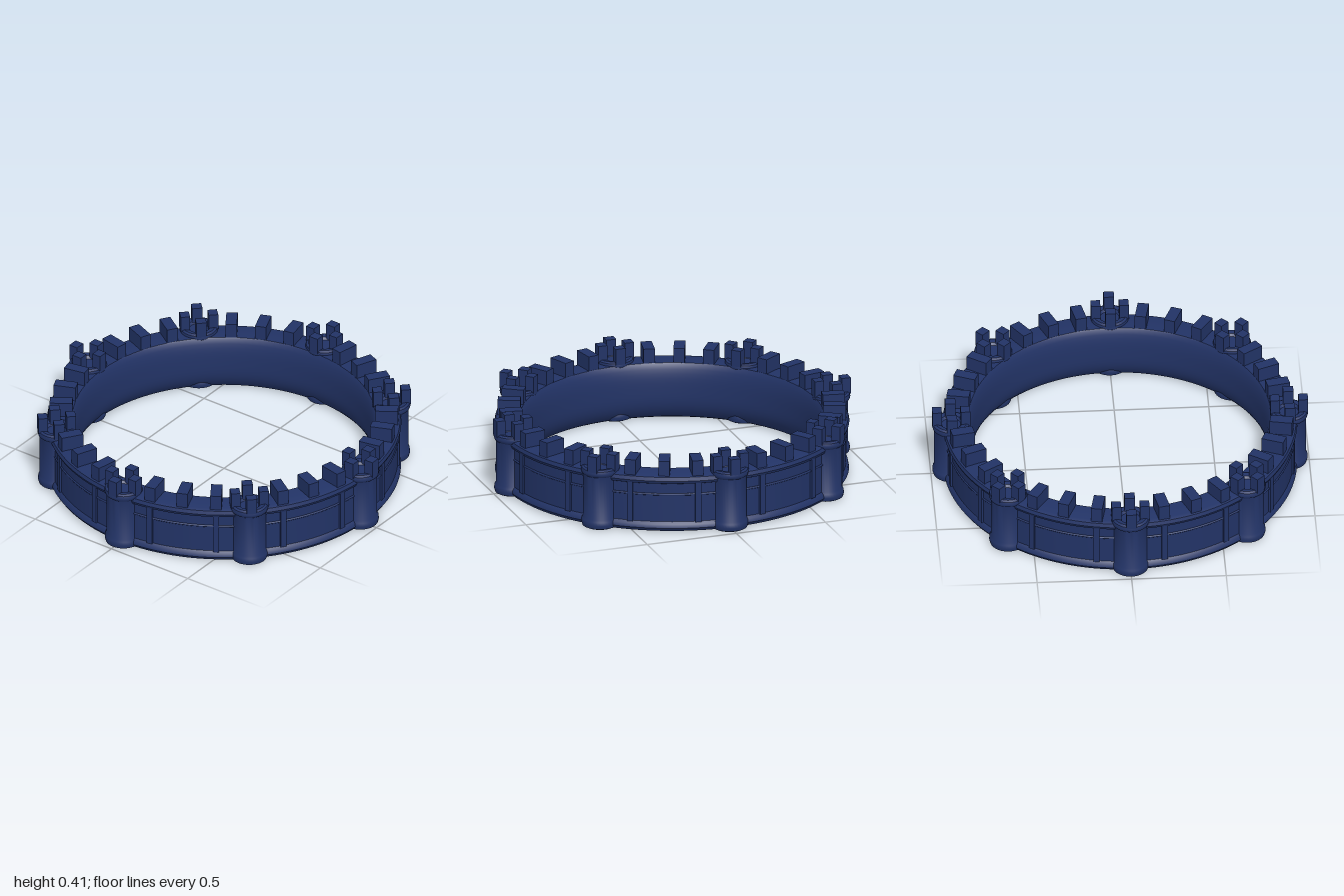
import * as THREE from 'three';
import { toCreasedNormals } from 'three/addons/utils/BufferGeometryUtils.js';

const material = new THREE.MeshStandardMaterial({ color: 0x223366 });

function lathe(points, segments) {
  const geo = new THREE.LatheGeometry(points.map(([r, y]) => new THREE.Vector2(r, y)), segments);
  return toCreasedNormals(geo, 0.6);
}

function addMesh(parent, name, geo, x = 0, y = 0, z = 0) {
  const mesh = new THREE.Mesh(geo, material);
  mesh.name = name;
  mesh.position.set(x, y, z);
  parent.add(mesh);
  return mesh;
}

// Group turned about the ring axis, so that its local +z points outward
function spoke(parent, name, angle) {
  const group = new THREE.Group();
  group.name = name;
  group.rotation.y = angle;
  parent.add(group);
  return group;
}

export function createModel() {
  const model = new THREE.Group();
  model.name = 'castleRing';

  // Round wall: bulging inside, moulded foot and cornice outside
  const wall = [
    [0.84, 0.005], [0.90, 0.005], [0.922, 0.012], [0.934, 0.03], [0.93, 0.05], [0.918, 0.062],
    [0.918, 0.275], [0.93, 0.28], [0.936, 0.295], [0.93, 0.315], [0.91, 0.322], [0.80, 0.322],
  ];
  // Inner face curves from the top edge to the bottom edge
  for (let i = 0; i <= 12; i++) {
    const t = i / 12;
    const bulge = Math.pow(Math.abs(2 * t - 1), 3);
    wall.push([0.775 + (t < 0.5 ? 0.02 : 0.045) * bulge, 0.315 - 0.3 * t]);
  }
  wall.push([0.84, 0.005]);
  addMesh(model, 'wall', lathe(wall, 128));

  // Thin string course around the wall
  const course = new THREE.TorusGeometry(0.918, 0.006, 8, 128);
  course.rotateX(Math.PI / 2);
  addMesh(model, 'stringCourse', course, 0, 0.215, 0);

  const merlonGeo = new THREE.BoxGeometry(0.06, 0.09, 0.12);
  const pilasterGeo = new THREE.BoxGeometry(0.032, 0.22, 0.03);
  const towerGeo = lathe([
    [0, 0.005], [0.08, 0.005], [0.094, 0.012], [0.099, 0.03], [0.097, 0.05], [0.09, 0.062],
    [0.09, 0.3], [0.097, 0.306], [0.101, 0.32], [0.097, 0.335], [0.085, 0.342],
    [0.06, 0.338], [0.05, 0.325], [0, 0.325],
  ], 40);
  const towerMerlonGeo = new THREE.BoxGeometry(0.055, 0.09, 0.05);

  for (let i = 0; i < 8; i++) {
    const angle = (i * Math.PI) / 4;

    // Tower with four merlons
    const tower = spoke(model, 'tower', angle);
    addMesh(tower, 'towerBody', towerGeo, 0, 0, 0.893);
    for (let k = 0; k < 4; k++) {
      const a = (k * Math.PI) / 2;
      const m = addMesh(tower, 'towerMerlon', towerMerlonGeo,
        Math.sin(a) * 0.075, 0.374, 0.893 + Math.cos(a) * 0.075);
      m.rotation.y = a;
    }

    // Wall merlons and pilasters between this tower and the next
    for (let k = 1; k <= 3; k++) {
      const bay = spoke(model, 'wallBay', angle + (k * Math.PI) / 16);
      addMesh(bay, 'wallMerlon', merlonGeo, 0, 0.357, 0.86);
      if (k !== 2) addMesh(bay, 'pilaster', pilasterGeo, 0, 0.17, 0.914);
    }
  }
  return model;
}
